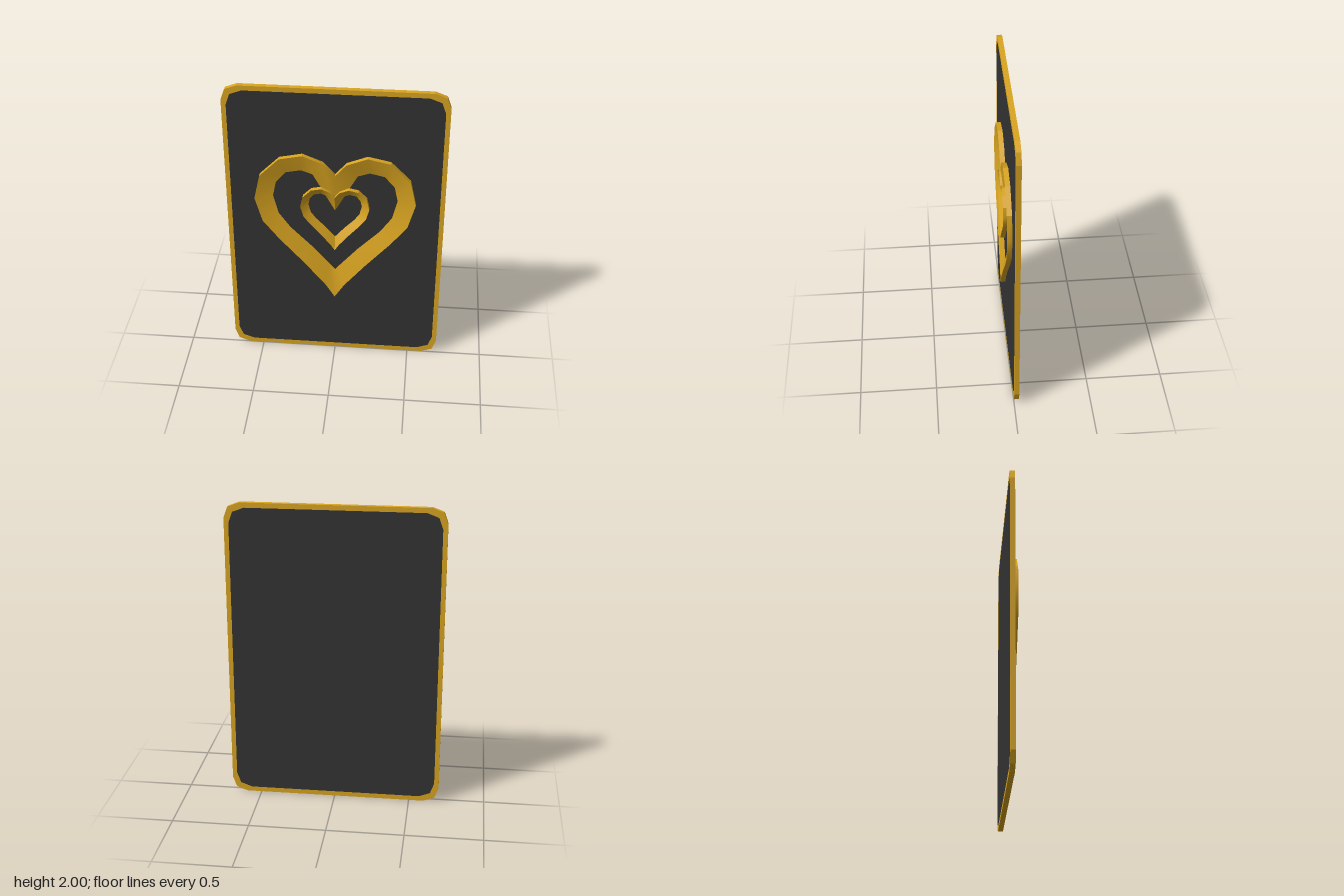
import * as THREE from 'three';
import { toCreasedNormals } from 'three/addons/utils/BufferGeometryUtils.js';

const DEPTH = 0.032;
const gold = new THREE.MeshStandardMaterial({ color: 0xdaa520 });
const black = new THREE.MeshStandardMaterial({ color: 0x333333 });

// Right half of the heart, notch to tip: [outer x, outer y, inner x, inner y]
const HEART = [
  [0, 1.41, 0, 1.14], [0.074, 1.495, 0.143, 1.4], [0.205, 1.547, 0.217, 1.426],
  [0.35, 1.516, 0.312, 1.405], [0.476, 1.389, 0.376, 1.33], [0.513, 1.22, 0.397, 1.23],
  [0.466, 1.05, 0.365, 1.098], [0.36, 0.913, 0.29, 0.99], [0.206, 0.738, 0.148, 0.844],
  [0.063, 0.563, 0.045, 0.723], [0, 0.463, 0, 0.67],
];

// Rectangle centred on (0, 1) with corners cut by two-step facets
function cardOutline(halfW, halfH) {
  const corner = [[halfW, halfH - 0.1], [halfW - 0.026, halfH - 0.028], [halfW - 0.1, halfH]];
  const points = [];
  for (const [sx, sy] of [[1, 1], [-1, 1], [-1, -1], [1, -1]]) {
    const quarter = corner.map(([x, y]) => new THREE.Vector2(sx * x, 1 + sy * y));
    points.push(...(sx * sy > 0 ? quarter : quarter.reverse()));
  }
  return points;
}

function slab(shape, material, name) {
  const geometry = new THREE.ExtrudeGeometry(shape, { depth: DEPTH, bevelEnabled: false });
  const mesh = new THREE.Mesh(geometry, material);
  mesh.position.z = -DEPTH;
  mesh.name = name;
  return mesh;
}

// Heart band: upright outer wall, front sloping down to the inner edge
function heart(scale, tipY, name) {
  const left = HEART.slice(1, -1).reverse().map(([ox, oy, ix, iy]) => [-ox, oy, -ix, iy]);
  const loop = [...HEART, ...left].map(([ox, oy, ix, iy]) => {
    const y = (v) => tipY + (v - 0.463) * scale;
    return [[ox * scale, y(oy), 0], [ox * scale, y(oy), DEPTH], [ix * scale, y(iy), 0.0005]];
  });
  const positions = [];
  loop.forEach((a, i) => {
    const b = loop[(i + 1) % loop.length];
    for (let k = 0; k < 2; k++) {
      positions.push(...a[k], ...a[k + 1], ...b[k + 1], ...a[k], ...b[k + 1], ...b[k]);
    }
  });
  const geometry = new THREE.BufferGeometry();
  geometry.setAttribute('position', new THREE.Float32BufferAttribute(positions, 3));
  const mesh = new THREE.Mesh(toCreasedNormals(geometry, 0.55), gold);
  mesh.name = name;
  return mesh;
}

export function createModel() {
  const group = new THREE.Group();
  group.name = 'heartCard';

  // Card: gold rim around a flush dark panel
  const inner = cardOutline(0.667, 0.968);
  const rim = new THREE.Shape(cardOutline(0.697, 1));
  rim.holes.push(new THREE.Path(inner));
  group.add(slab(rim, gold, 'rim'), slab(new THREE.Shape(inner), black, 'panel'));

  // Raised hearts on the front
  group.add(heart(1, 0.463, 'largeHeart'), heart(0.43, 0.845, 'smallHeart'));
  return group;
}
